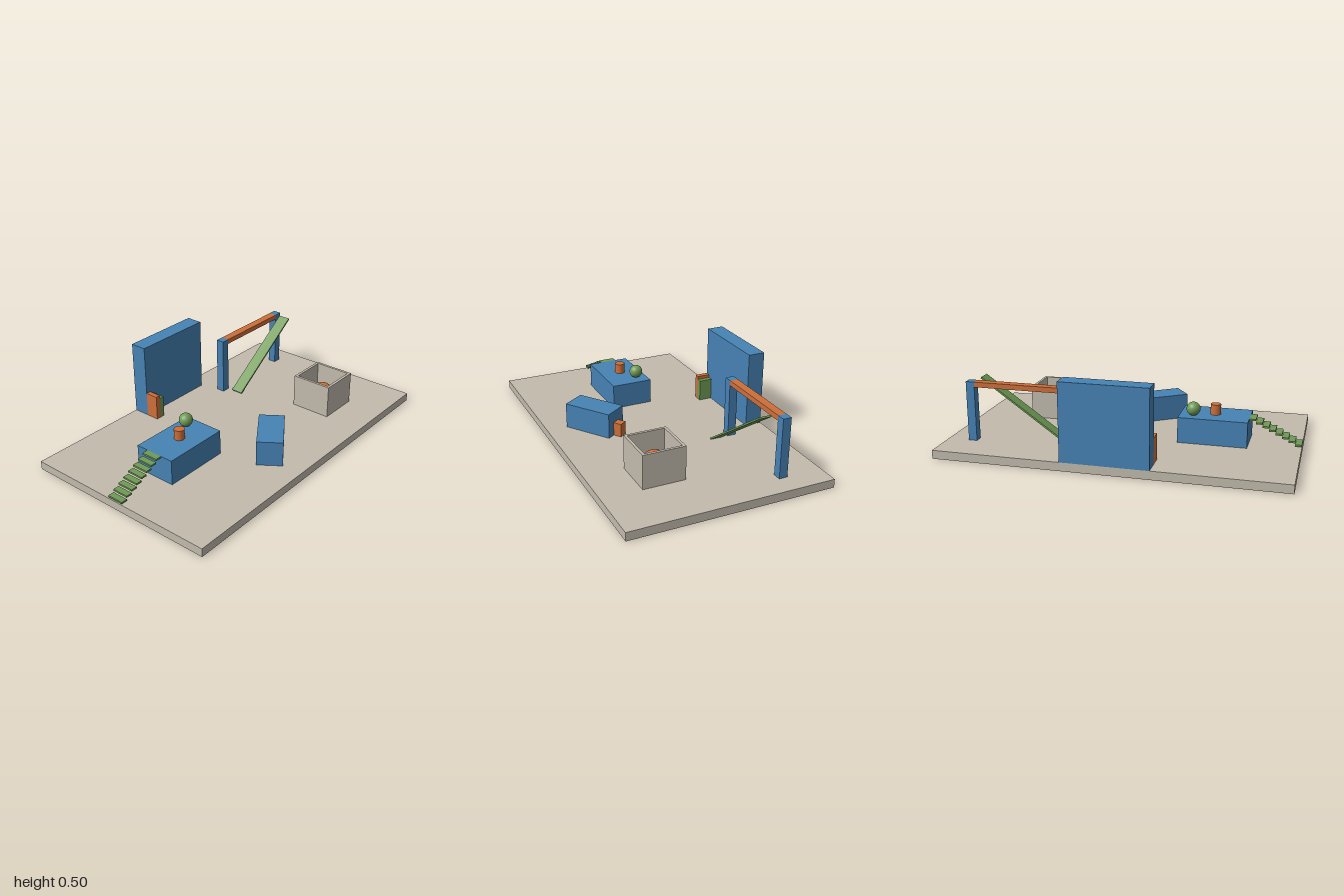
import * as THREE from 'three';

export function createModel() {
  const model = new THREE.Group();
  const paint = (color) => new THREE.MeshStandardMaterial({ color });
  const stone = paint(0xc2bbad), blue = paint(0x4682b4), orange = paint(0xcd6f3a), green = paint(0x6f9a55);
  const GROUND = 0.05;

  function add(name, geometry, material, x, y, z, parent = model) {
    const mesh = new THREE.Mesh(geometry, material);
    mesh.name = name;
    mesh.position.set(x, y, z);
    parent.add(mesh);
    return mesh;
  }
  // Box given by its size, with y as the height of its underside
  const box = (name, material, w, h, d, x, y, z, parent) =>
    add(name, new THREE.BoxGeometry(w, h, d), material, x, y + h / 2, z, parent);
  function group(name, x = 0, y = 0, z = 0) {
    const g = new THREE.Group();
    g.name = name;
    g.position.set(x, y, z);
    model.add(g);
    return g;
  }

  // Ground slab
  box('base', stone, 2, GROUND, 1.2, 0, 0, 0);

  // Raised platform with a post and a ball on top
  box('platform', blue, 0.4, 0.15, 0.25, -0.5, GROUND, 0);
  add('platformPost', new THREE.CylinderGeometry(0.03, 0.03, 0.06, 32), orange, -0.5, 0.23, 0);
  add('platformBall', new THREE.SphereGeometry(0.04, 32, 20), green, -0.38, 0.24, -0.06);

  // Floating stair treads up to the platform
  const stairs = group('stairs');
  const steps = 8, run = 0.3 / steps, rise = 0.15 / steps;
  for (let i = 0; i < steps; i++) {
    box('step', green, run, 0.01, 0.1, -1 + run * (i + 0.5), GROUND + rise * (i + 1) - 0.01, 0, stairs);
  }

  // Back wall with two small blocks against its foot
  box('wall', blue, 0.5, 0.45, 0.1, 0, GROUND, -0.55);
  box('tallBlock', orange, 0.03, 0.15, 0.08, -0.235, GROUND, -0.46);
  box('shortBlock', green, 0.03, 0.13, 0.08, -0.205, GROUND, -0.46);

  // Turned block with a smaller one at its end
  const turned = group('turnedBlock', -0.1, GROUND, 0.33);
  turned.rotation.y = THREE.MathUtils.degToRad(35);
  box('turnedBody', blue, 0.3, 0.15, 0.15, 0, 0, 0, turned);
  box('turnedEnd', orange, 0.05, 0.08, 0.05, 0.175, 0, 0, turned);

  // Open bin holding a ball
  const bin = group('bin', 0.55, GROUND, 0.24);
  const size = 0.25, wall = 0.016;
  for (const s of [-1, 1]) {
    box('binSide', stone, wall, 0.2, size, s * (size - wall) / 2, 0, 0, bin);
    box('binEnd', stone, size - 2 * wall, 0.2, wall, 0, 0, s * (size - wall) / 2, bin);
  }
  add('binBall', new THREE.SphereGeometry(0.07, 32, 20), orange, 0, 0.07, 0, bin);

  // Gate: two posts and a crossbar
  const gate = group('gate', 0.575, GROUND, -0.36);
  for (const s of [-1, 1]) box('gatePost', blue, 0.05, 0.35, 0.05, s * 0.275, 0, 0, gate);
  box('crossbar', orange, 0.5, 0.03, 0.05, 0, 0.32, 0, gate);

  // Sloping plank in front of the gate
  const plank = add('ramp', new THREE.BoxGeometry(Math.hypot(0.5, 0.35), 0.01, 0.075), green, 0.571, 0.229, -0.26);
  plank.rotation.z = Math.atan2(0.35, 0.5);

  return model;
}
